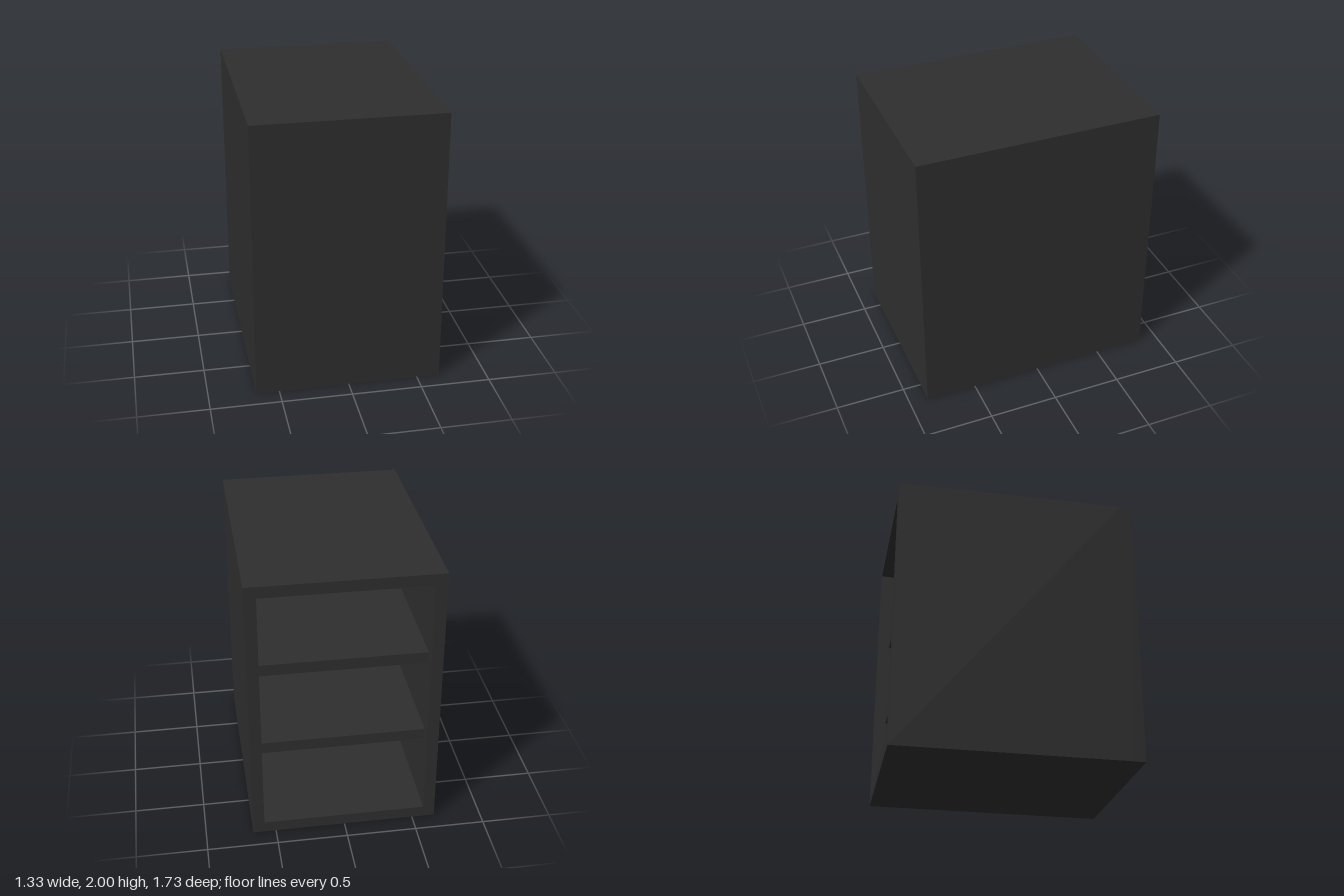
import * as THREE from 'three';

const W = 1.33, H = 2, D = 1.734, T = 0.083; // outer size and board thickness

export function createModel() {
  const model = new THREE.Group();
  model.name = 'cabinet';
  const charcoal = new THREE.MeshStandardMaterial({ color: 0x2e2e2e });
  charcoal.name = 'charcoal';

  const add = (name, geometry, x, y, z) => {
    const mesh = new THREE.Mesh(geometry, charcoal);
    mesh.name = name;
    mesh.position.set(x, y, z);
    model.add(mesh);
  };

  // Rectangle outline centred on x, from y0 to y1
  const rect = (Type, halfWidth, y0, y1) => {
    const path = new Type();
    path.moveTo(-halfWidth, y0);
    path.lineTo(halfWidth, y0);
    path.lineTo(halfWidth, y1);
    path.lineTo(-halfWidth, y1);
    path.closePath();
    return path;
  };

  // Top, bottom and sides as one frame, open at the back
  const outline = rect(THREE.Shape, W / 2, 0, H);
  outline.holes.push(rect(THREE.Path, W / 2 - T, T, H - T));
  const frame = new THREE.ExtrudeGeometry(outline, { depth: D - T, bevelEnabled: false });
  add('frame', frame, 0, 0, -D / 2);

  // Closed front
  add('frontPanel', new THREE.BoxGeometry(W, H, T), 0, H / 2, D / 2 - T / 2);

  // Two evenly spaced shelves, set in from the open back
  const shelfDepth = D - 2 * T;
  const pitch = (H - T) / 3;
  ['lowerShelf', 'upperShelf'].forEach((name, i) => {
    add(name, new THREE.BoxGeometry(W - 2 * T, T, shelfDepth), 0, T / 2 + pitch * (i + 1), 0);
  });

  return model;
}
